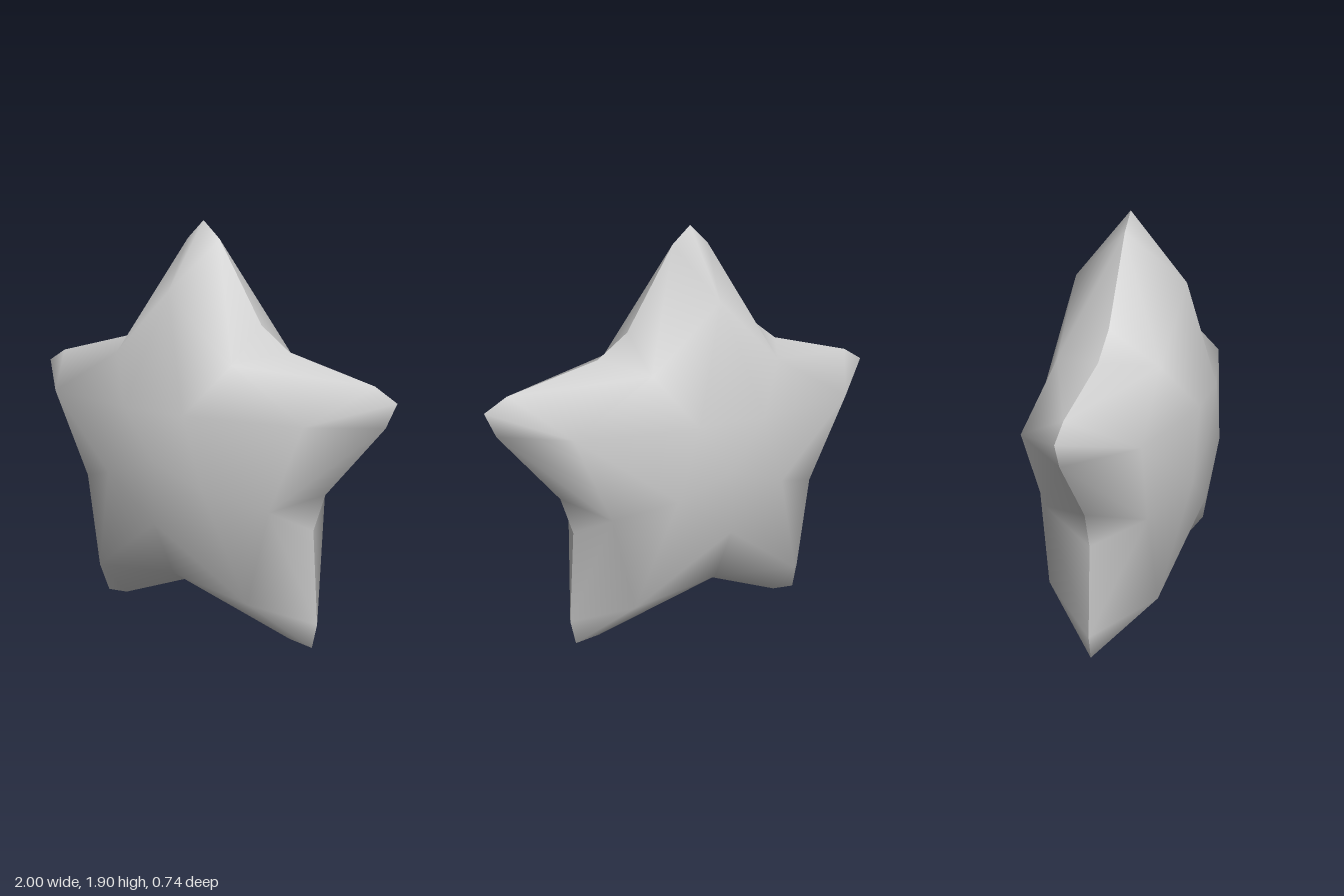
import * as THREE from 'three';

const DEG = Math.PI / 180;
const CENTER_Y = 0.85;

// Points of one arm step: [angle from the arm axis, radius, depth]
const ARM = [
  [0, 0.745, 0.26],      // 0 ridge
  [0, 1.051, 0],         // 1 tip
  [5.3, 0.974, 0],       // 2 shoulder beside the tip, left
  [28.2, 0.68, 0],       // 3 rim before the valley
  [36, 0.285, 0.37],     // 4 corner of the flat middle
  [36, 0.556, 0.235],    // 5 valley floor
  [43.8, 0.68, 0],       // 6 rim after the valley
  [66.7, 0.974, 0],      // 7 shoulder of the next arm, right
];
const N = ARM.length;

// One puffed half of the star, with smooth normals that stop at the rim
function halfStar() {
  const positions = [0, 0, 0.37];
  const index = [];
  for (let k = 0; k < 5; k++) {
    for (const [offset, r, z] of ARM) {
      const a = (72 * k + offset) * DEG;
      positions.push(-Math.sin(a) * r, Math.cos(a) * r, z);
    }
    const here = (i) => 1 + k * N + i;
    const next = (i) => 1 + ((k + 1) % 5) * N + i;
    const [ridge, tip, shoulder, rim, corner, valley, rim2, shoulder2] = ARM.map((_, i) => here(i));
    const ridge2 = next(0), tip2 = next(1), corner2 = next(4);
    index.push(
      // flat middle and the arm's top face
      0, corner, corner2,
      corner, ridge2, corner2,
      // left flank of this arm
      ridge, valley, corner,
      ridge, shoulder, valley,
      shoulder, rim, valley,
      ridge, tip, shoulder,
      // valley between the arms
      valley, rim, rim2,
      // right flank of the next arm
      ridge2, corner, valley,
      ridge2, valley, shoulder2,
      shoulder2, valley, rim2,
      ridge2, shoulder2, tip2,
    );
  }
  const geometry = new THREE.BufferGeometry();
  geometry.setAttribute('position', new THREE.Float32BufferAttribute(positions, 3));
  geometry.setIndex(index);
  geometry.computeVertexNormals();
  return geometry;
}

export function createModel() {
  const star = new THREE.Group();
  star.name = 'star';
  const material = new THREE.MeshStandardMaterial({ color: 0xcccccc });
  const geometry = halfStar();

  const front = new THREE.Mesh(geometry, material);
  front.name = 'frontHalf';
  const back = new THREE.Mesh(geometry, material);
  back.name = 'backHalf';
  back.rotation.y = Math.PI;
  for (const half of [front, back]) half.position.y = CENTER_Y;

  star.add(front, back);
  return star;
}
